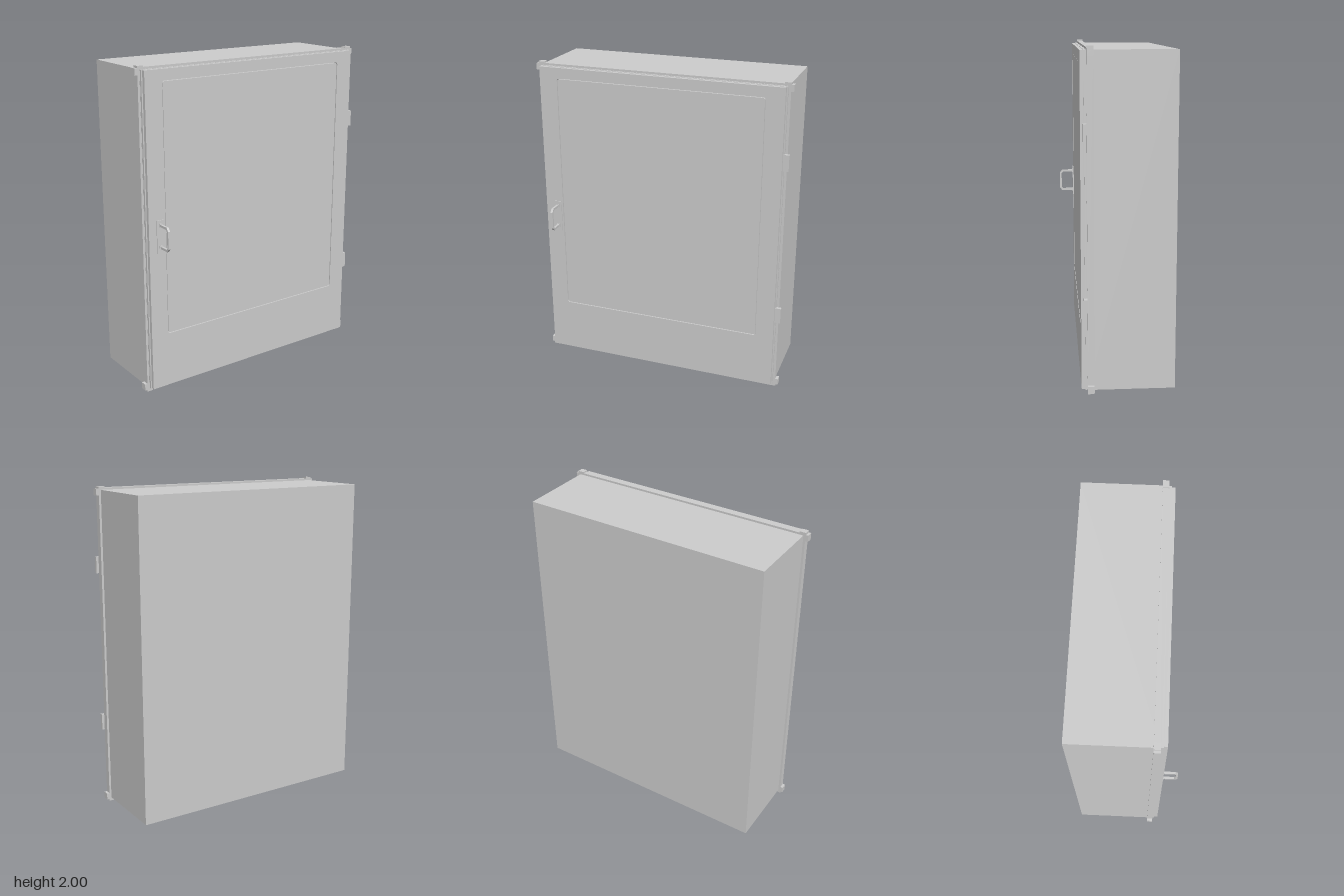
import * as THREE from 'three';

const material = new THREE.MeshStandardMaterial({ color: 0xcccccc, flatShading: true });

function add(parent, name, geometry, x = 0, y = 0, z = 0) {
  const mesh = new THREE.Mesh(geometry, material);
  mesh.name = name;
  mesh.position.set(x, y, z);
  parent.add(mesh);
  return mesh;
}

// Box given by its minimum and maximum corners
function block(parent, name, [x0, y0, z0], [x1, y1, z1]) {
  return add(parent, name, new THREE.BoxGeometry(x1 - x0, y1 - y0, z1 - z0),
    (x0 + x1) / 2, (y0 + y1) / 2, (z0 + z1) / 2);
}

// Rounded rectangle outline, drawn into a Shape or Path
function rounded(target, x0, y0, x1, y1, r) {
  target.moveTo(x0 + r, y0).lineTo(x1 - r, y0);
  target.absarc(x1 - r, y0 + r, r, -Math.PI / 2, 0);
  target.lineTo(x1, y1 - r).absarc(x1 - r, y1 - r, r, 0, Math.PI / 2);
  target.lineTo(x0 + r, y1).absarc(x0 + r, y1 - r, r, Math.PI / 2, Math.PI);
  target.lineTo(x0, y0 + r).absarc(x0 + r, y0 + r, r, Math.PI, Math.PI * 1.5);
  return target;
}

function extrude(shape, depth) {
  return new THREE.ExtrudeGeometry(shape, { depth, bevelEnabled: false, curveSegments: 4 });
}

export function createModel() {
  const model = new THREE.Group();
  model.name = 'wallCabinet';

  // Enclosure
  block(model, 'body', [-0.775, 0.025, -0.32], [0.775, 1.98, 0.19]);

  // Clamping rails around the front edge
  for (const s of [-1, 1]) {
    const side = s < 0 ? 'right' : 'left';
    add(model, side + 'Rail', new THREE.BoxGeometry(0.018, 1.95, 0.037), s * 0.779, 1.0025, 0.17);
    const y = s < 0 ? 0.0205 : 1.9845;
    add(model, s < 0 ? 'bottomRail' : 'topRail', new THREE.BoxGeometry(1.55, 0.015, 0.037), 0, y, 0.17);
  }

  // Crossed clamps at the four corners
  for (const sx of [-1, 1]) {
    for (const sy of [-1, 1]) {
      const corner = new THREE.Group();
      corner.name = 'cornerClamp';
      corner.position.set(sx * 0.77, 1.0025 + sy * 0.965, 0.17);
      add(corner, 'sideClamp', new THREE.BoxGeometry(0.035, 0.04, 0.038), sx * 0.0175, 0, 0);
      add(corner, 'endClamp', new THREE.BoxGeometry(0.04, 0.0325, 0.038), 0, sy * 0.01625, 0);
      model.add(corner);
    }
  }

  // Door: wider rear flange and front panel with a window opening
  const door = new THREE.Group();
  door.name = 'door';
  model.add(door);
  block(door, 'doorFlange', [-0.773, 0.026, 0.188], [0.773, 1.979, 0.203]);
  const panel = new THREE.Shape()
    .moveTo(-0.766, 0.029).lineTo(0.766, 0.029).lineTo(0.766, 1.977).lineTo(-0.766, 1.977).closePath();
  panel.holes.push(rounded(new THREE.Path(), -0.653, 0.373, 0.653, 1.911, 0.015));
  add(door, 'doorPanel', extrude(panel, 0.022), 0, 0, 0.203);

  // Window pane separated from the panel by a fine groove
  const pane = rounded(new THREE.Shape(), -0.649, 0.377, 0.649, 1.907, 0.012);
  add(door, 'windowPane', extrude(pane, 0.02), 0, 0, 0.203);

  // Hinges on the left edge
  for (const y of [0.53, 1.53]) {
    block(model, 'hinge', [0.765, y - 0.05, 0.19], [0.803, y + 0.05, 0.21]);
  }

  // Handle: backing plate and chamfered pull with a through opening
  const handle = new THREE.Group();
  handle.name = 'handle';
  model.add(handle);
  block(handle, 'handlePlate', [-0.715, 0.902, 0.222], [-0.663, 1.104, 0.23]);
  const points = [[0.226, 0.93], [0.305, 0.93], [0.322, 0.95], [0.322, 1.058], [0.305, 1.08], [0.226, 1.08]];
  const inner = [[0.226, 1.066], [0.3, 1.066], [0.309, 1.054], [0.309, 0.954], [0.3, 0.944], [0.226, 0.944]];
  const pull = new THREE.Shape([...points, ...inner].map(([z, y]) => new THREE.Vector2(z, y)));
  const grip = extrude(pull, 0.014);
  grip.translate(0, 0, -0.007).rotateY(-Math.PI / 2);
  add(handle, 'handleGrip', grip, -0.689, 0, 0);
  for (const y of [0.937, 1.073]) {
    block(handle, 'handleFoot', [-0.7, y - 0.011, 0.229], [-0.678, y + 0.011, 0.235]);
  }

  return model;
}
